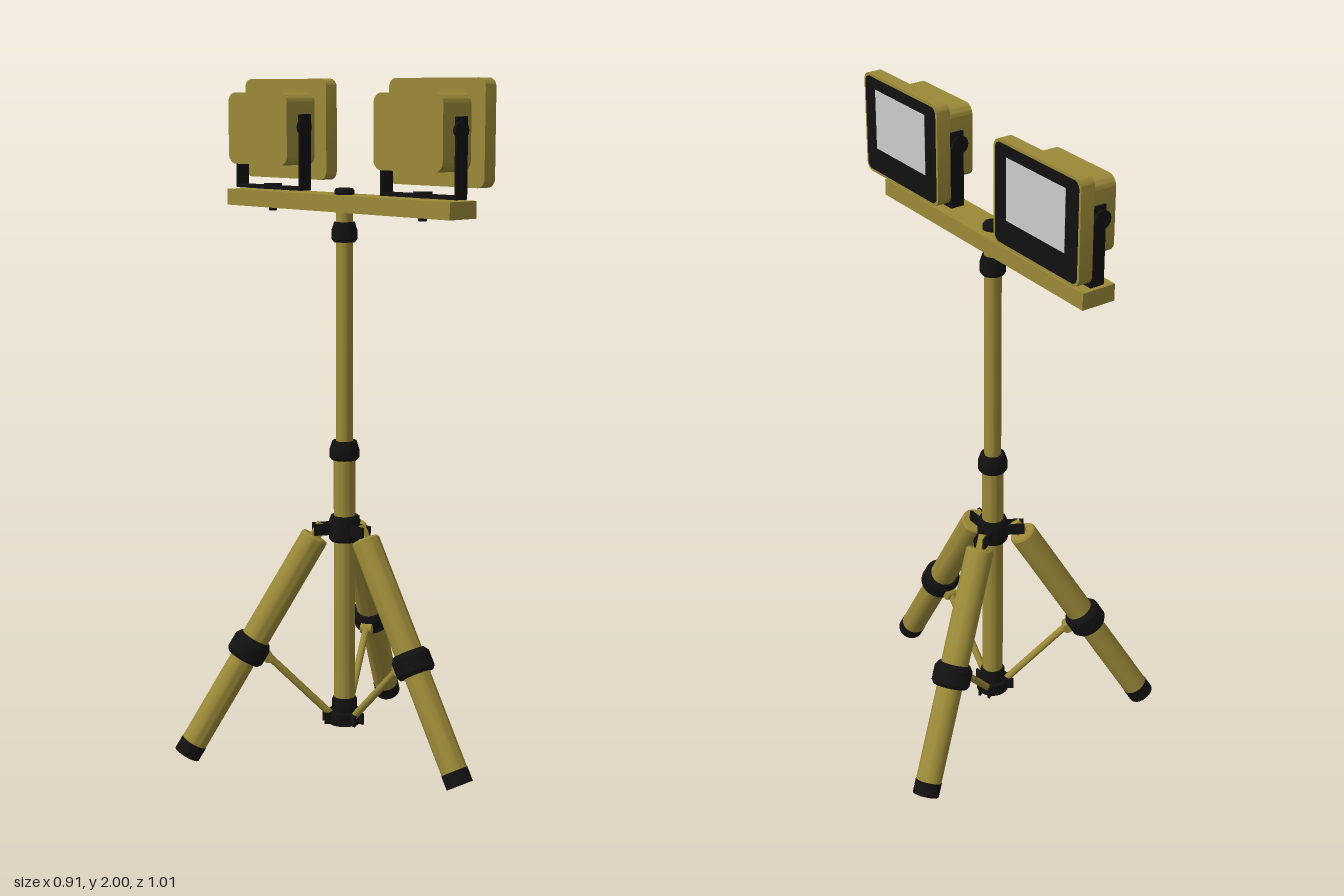
import * as THREE from 'three';
import { toCreasedNormals } from 'three/addons/utils/BufferGeometryUtils.js';

const olive = new THREE.MeshStandardMaterial({ color: 0x9a8938 });
olive.name = 'olive paint';
const black = new THREE.MeshStandardMaterial({ color: 0x111111 });
black.name = 'black rubber';
const glass = new THREE.MeshStandardMaterial({ color: 0xcbcdca });
glass.name = 'lamp glass';

const AXIS_Z = -0.0125; // the mast stands slightly behind the middle

function add(parent, name, geometry, material, x = 0, y = 0, z = 0) {
  const mesh = new THREE.Mesh(geometry, material);
  mesh.name = name;
  mesh.position.set(x, y, z);
  parent.add(mesh);
  return mesh;
}

// Turned part: closed profile of [radius, height] from bottom to top
function turned(profile) {
  const pts = profile.map(([r, y]) => new THREE.Vector2(r, y));
  pts.unshift(new THREE.Vector2(0, pts[0].y));
  pts.push(new THREE.Vector2(0, pts[pts.length - 1].y));
  return toCreasedNormals(new THREE.LatheGeometry(pts, 32), 0.5);
}
const tube = (r, y0, y1) => turned([[r, y0], [r, y1]]);

// Straight rod between two points
function rod(parent, name, a, b, r, material) {
  const from = new THREE.Vector3(...a), to = new THREE.Vector3(...b);
  const dir = to.clone().sub(from);
  const mesh = add(parent, name, new THREE.CylinderGeometry(r, r, dir.length(), 16), material);
  mesh.position.copy(from).add(to).multiplyScalar(0.5);
  mesh.quaternion.setFromUnitVectors(new THREE.Vector3(0, 1, 0), dir.normalize());
  return mesh;
}

// Rounded rectangle facing +x, w along z, h along y, from x = 0 to depth
function roundedPlate(w, h, r, depth) {
  const s = new THREE.Shape(), x = w / 2, y = h / 2;
  s.moveTo(-x + r, -y);
  s.lineTo(x - r, -y);
  s.absarc(x - r, -y + r, r, -Math.PI / 2, 0);
  s.lineTo(x, y - r);
  s.absarc(x - r, y - r, r, 0, Math.PI / 2);
  s.lineTo(-x + r, y);
  s.absarc(-x + r, y - r, r, Math.PI / 2, Math.PI);
  s.lineTo(-x, -y + r);
  s.absarc(-x + r, -y + r, r, Math.PI, Math.PI * 1.5);
  const g = new THREE.ExtrudeGeometry(s, { depth, bevelEnabled: false, curveSegments: 8 });
  return toCreasedNormals(g.rotateY(Math.PI / 2), 0.6);
}

// One leg with its brace, spreading toward +z
function makeLeg() {
  const leg = new THREE.Group();
  leg.name = 'leg';

  const shaft = new THREE.Group();
  shaft.name = 'legShaft';
  shaft.position.set(0, 0.021, 0.482);
  shaft.rotation.x = -0.545;
  leg.add(shaft);
  add(shaft, 'foot', tube(0.04, 0, 0.043), black);
  add(shaft, 'lowerLeg', tube(0.039, 0.043, 0.36), olive);
  add(shaft, 'legCollar', turned([[0.051, 0.335], [0.058, 0.345], [0.058, 0.39], [0.048, 0.405]]), black);
  add(shaft, 'upperLeg', turned([[0.042, 0.39], [0.042, 0.752], [0.038, 0.758]]), olive);
  add(shaft, 'legTab', new THREE.BoxGeometry(0.018, 0.05, 0.03), olive, 0, 0.775, 0);

  // Hinge fork on the upper hub
  for (const s of [-1, 1]) {
    add(leg, 'hingePlate', new THREE.BoxGeometry(0.007, 0.034, 0.065), black, s * 0.014, 0.69, 0.062);
  }
  rod(leg, 'hingePin', [-0.022, 0.69, 0.082], [0.022, 0.69, 0.082], 0.009, black);

  // Brace from the lower hub up to the collar
  rod(leg, 'brace', [0, 0.108, 0.04], [0, 0.305, 0.23], 0.011, olive);
  rod(leg, 'braceUpperPivot', [-0.018, 0.307, 0.236], [0.018, 0.307, 0.236], 0.016, olive);
  for (const s of [-1, 1]) {
    add(leg, 'braceClevis', new THREE.BoxGeometry(0.007, 0.034, 0.04), black, s * 0.016, 0.103, 0.045);
  }
  return leg;
}

// Flood lamp facing +x, in its U bracket; origin on top of the beam
function makeLamp() {
  const lamp = new THREE.Group();
  lamp.name = 'floodLamp';
  add(lamp, 'lampBody', roundedPlate(0.266, 0.21, 0.03, 0.109), olive, -0.06, 0.182, 0);
  add(lamp, 'lampFrame', roundedPlate(0.367, 0.293, 0.026, 0.042), olive, 0.049, 0.1805, 0);
  add(lamp, 'lampPanel', roundedPlate(0.351, 0.277, 0.02, 0.002), black, 0.0905, 0.1805, 0);
  add(lamp, 'lampGlass', new THREE.BoxGeometry(0.002, 0.174, 0.249), glass, 0.0925, 0.2, 0);

  add(lamp, 'bracketBase', new THREE.BoxGeometry(0.043, 0.01, 0.292), black, 0.001, 0.009, 0);
  add(lamp, 'bracketBolt', tube(0.027, 0.004, 0.02), black);
  add(lamp, 'bracketNut', tube(0.012, -0.06, -0.04), black);
  for (const s of [-1, 1]) {
    add(lamp, 'bracketArm', new THREE.BoxGeometry(0.043, 0.221, 0.007), black, 0.001, 0.1145, s * 0.1425);
    rod(lamp, 'tiltKnob', [-0.006, 0.188, s * 0.145], [-0.006, 0.188, s * 0.153], 0.026, black);
    rod(lamp, 'tiltPin', [-0.006, 0.188, s * 0.125], [-0.006, 0.188, s * 0.145], 0.016, black);
  }
  return lamp;
}

export function createModel() {
  const model = new THREE.Group();
  model.name = 'tripodWorkLight';
  const stand = new THREE.Group();
  stand.name = 'stand';
  stand.position.z = AXIS_Z;
  model.add(stand);

  // Telescopic mast and its clamps
  add(stand, 'lowerMast', tube(0.032, 0.1, 0.91), olive);
  add(stand, 'upperMast', tube(0.025, 0.9, 1.626), olive);
  add(stand, 'mastClamp',
    turned([[0.038, 0.897], [0.044, 0.905], [0.044, 0.928], [0.036, 0.953]]), black);
  add(stand, 'topClamp',
    turned([[0.031, 1.537], [0.037, 1.545], [0.037, 1.572], [0.03, 1.595]]), black);

  // Hubs
  add(stand, 'upperHub',
    turned([[0.04, 0.65], [0.046, 0.658], [0.046, 0.712], [0.04, 0.728]]), black);
  add(stand, 'lowerHub',
    turned([[0.05, 0.083], [0.05, 0.12], [0.038, 0.122], [0.038, 0.155], [0.033, 0.165]]), black);

  // Three legs
  for (let i = 0; i < 3; i++) {
    const leg = makeLeg();
    leg.rotation.y = (i * Math.PI * 2) / 3;
    stand.add(leg);
  }

  // Cross beam with its centre knob
  add(stand, 'crossBeam', new THREE.BoxGeometry(0.104, 0.048, 0.935), olive, 0, 1.649, 0);
  add(stand, 'beamKnob', turned([[0.029, 1.67], [0.029, 1.684], [0.024, 1.691]]), black);

  // Two lamps
  for (const s of [-1, 1]) {
    const lamp = makeLamp();
    lamp.position.set(0, 1.673, s * 0.3145);
    stand.add(lamp);
  }
  return model;
}
